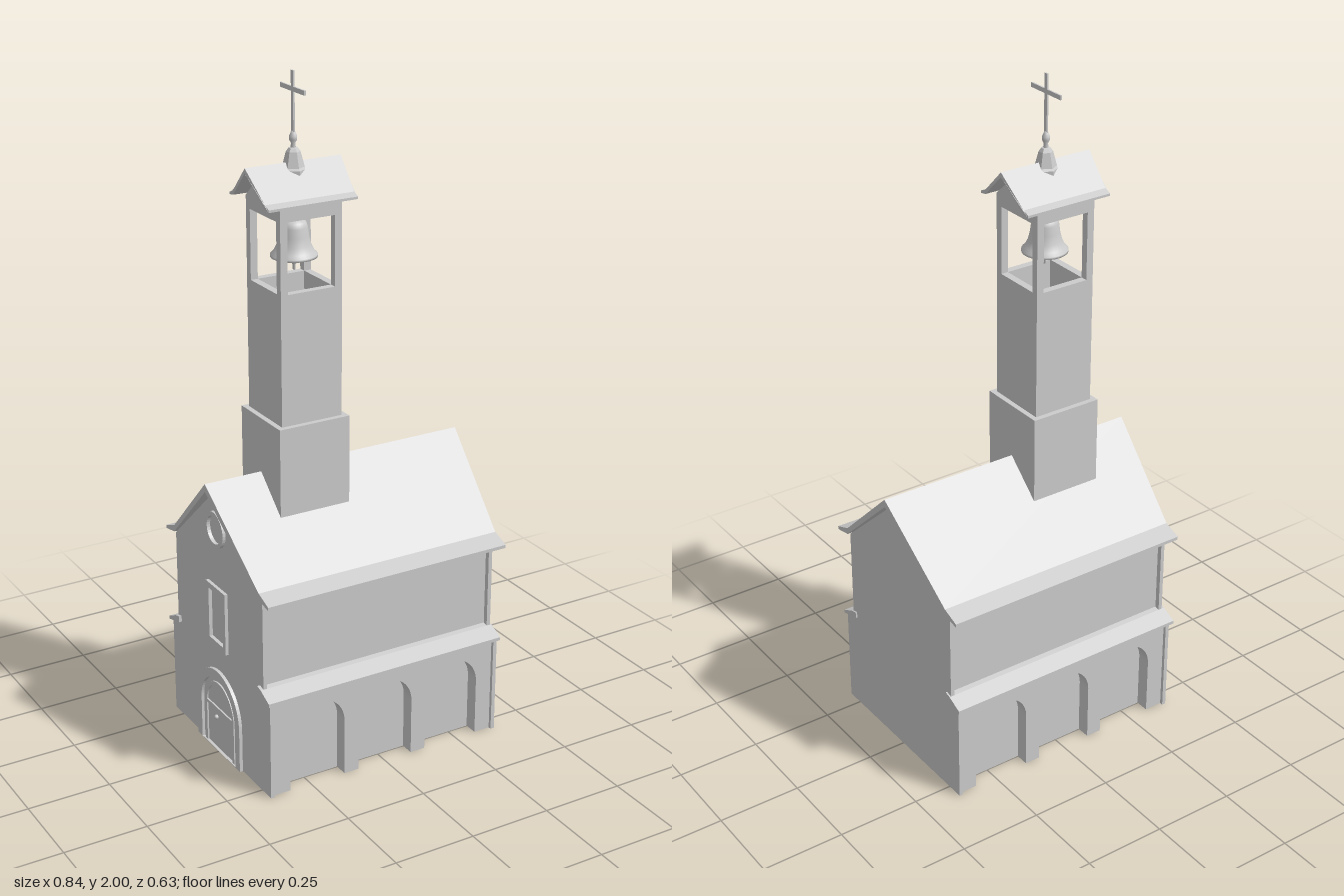
import * as THREE from 'three';

const TX = -0.128; // tower axis

export function createModel() {
  const model = new THREE.Group();
  const mat = new THREE.MeshStandardMaterial({ color: 0xcccccc, side: THREE.DoubleSide });
  const smooth = mat;
  const flat = mat.clone();
  flat.flatShading = true;

  const add = (name, geo, x = 0, y = 0, z = 0, m = flat, parent = model) => {
    const mesh = new THREE.Mesh(geo, m);
    mesh.name = name;
    mesh.position.set(x, y, z);
    parent.add(mesh);
    return mesh;
  };
  const box = (name, w, h, d, x, y, z) => add(name, new THREE.BoxGeometry(w, h, d), x, y, z);
  const poly = pts => new THREE.Shape(pts.map(p => new THREE.Vector2(p[0], p[1])));
  const extrude = (shape, depth) => new THREE.ExtrudeGeometry(shape,
    { depth, bevelEnabled: false, curveSegments: 16 }).translate(0, 0, -depth / 2);
  // a (z, y) outline extruded along x
  const extrudeX = (shape, depth) => extrude(shape, depth).rotateY(-Math.PI / 2);
  const mirrored = pts => [...pts, ...pts.filter(p => p[0] > 0).reverse().map(p => [-p[0], p[1]])];
  const arch = (r, spring, base = 0, Type = THREE.Shape) => {
    const s = new Type();
    s.moveTo(-r, base);
    s.lineTo(r, base);
    s.lineTo(r, spring);
    s.absarc(0, spring, r, 0, Math.PI, false);
    s.lineTo(-r, base);
    return s;
  };
  const rect = (w, y0, y1, Type = THREE.Shape) => {
    const s = new Type();
    s.moveTo(-w, y0);
    s.lineTo(w, y0);
    s.lineTo(w, y1);
    s.lineTo(-w, y1);
    s.closePath();
    return s;
  };
  const circle = (r, y, Type = THREE.Shape) => {
    const s = new Type();
    s.absarc(0, y, r, 0, Math.PI * 2, false);
    return s;
  };

  // Chevron roof with flared eaves whose ridge is longer than its eaves
  const roof = (name, top, under, ridge, eave, x) => {
    const shape = poly([
      ...top, ...[...under].reverse(),
      ...under.slice(1).map(p => [-p[0], p[1]]),
      ...top.slice(1).reverse().map(p => [-p[0], p[1]]),
    ]);
    const geo = extrudeX(shape, 2);
    const pos = geo.attributes.position;
    for (let i = 0; i < pos.count; i++) {
      const t = Math.min(Math.abs(pos.getZ(i)) / top[1][0], 1);
      pos.setX(i, Math.sign(pos.getX(i)) * (ridge + (eave - ridge) * t));
    }
    geo.computeVertexNormals();
    return add(name, geo, x);
  };

  // Gable end walls, the left-hand view of the nave is blank, the other has openings
  const gablePts = mirrored([[0, 0.842], [0.265, 0.606], [0.265, 0.32], [0.302, 0.303], [0.302, 0]]);
  add('blankGable', extrudeX(poly(gablePts), 0.012), 0.376);
  const entrance = poly(gablePts);
  entrance.holes.push(
    arch(0.105, 0.135, 0.001, THREE.Path),
    rect(0.042, 0.365, 0.52, THREE.Path),
    circle(0.042, 0.72, THREE.Path));
  add('entranceGable', extrudeX(entrance, 0.012), -0.38);

  // Side walls, blind arcades and sloping ledges, same front and back
  for (const s of [1, -1]) {
    box('sideWall', 0.75, 0.62, 0.014, 0, 0.31, s * 0.243);
    const arcade = new THREE.Shape();
    arcade.moveTo(-0.375, 0);
    for (const cx of [-0.228, 0, 0.228]) {
      arcade.lineTo(cx - 0.09, 0);
      arcade.lineTo(cx - 0.09, 0.175);
      arcade.absarc(cx, 0.175, 0.09, Math.PI, 0, true);
      arcade.lineTo(cx + 0.09, 0);
    }
    arcade.lineTo(0.375, 0);
    arcade.lineTo(0.375, 0.305);
    arcade.lineTo(-0.375, 0.305);
    add('arcade', extrude(arcade, 0.044), 0, 0, s * 0.27);
    add('ledge', extrudeX(poly([[s * 0.245, 0.338], [s * 0.265, 0.333], [s * 0.312, 0.311],
      [s * 0.312, 0.301], [s * 0.245, 0.318]]), 0.782), -0.004);
  }

  roof('naveRoof', [[0, 0.867], [0.26, 0.632], [0.314, 0.612]],
    [[0, 0.843], [0.26, 0.612], [0.314, 0.602]], 0.42, 0.394, 0);

  // Arched door
  const doorFrame = arch(0.132, 0.135);
  doorFrame.holes.push(arch(0.105, 0.135, 0.001, THREE.Path));
  add('doorFrame', extrudeX(doorFrame, 0.022), -0.385);
  add('doorLeaf', extrudeX(arch(0.105, 0.135), 0.008), -0.383);
  const trim = arch(0.09, 0.135);
  trim.holes.push(arch(0.078, 0.135, 0.001, THREE.Path));
  add('doorTrim', extrudeX(trim, 0.006), -0.389);
  box('doorRail', 0.006, 0.01, 0.156, -0.389, 0.135, 0);
  add('doorKnob', new THREE.SphereGeometry(0.007, 10, 8), -0.391, 0.105, -0.02, smooth);

  // Rectangular window and round gable window
  const windowFrame = rect(0.058, 0.347, 0.54);
  windowFrame.holes.push(rect(0.042, 0.365, 0.522, THREE.Path));
  add('windowFrame', extrudeX(windowFrame, 0.022), -0.385);
  add('windowPane', extrudeX(rect(0.043, 0.364, 0.523), 0.006), -0.382);
  const roundFrame = circle(0.055, 0.72);
  roundFrame.holes.push(circle(0.042, 0.72, THREE.Path));
  add('roundWindowFrame', extrudeX(roundFrame, 0.022), -0.385);
  add('roundWindowPane', extrudeX(circle(0.043, 0.72), 0.006), -0.382);

  // Bell tower: solid base, hollow shaft with four openings
  box('towerBase', 0.224, 0.33, 0.224, TX, 0.865, 0);
  const opening = () => rect(0.074, 1.412, 1.615, THREE.Path);
  for (const s of [1, -1]) {
    const side = rect(0.096, 1.03, 1.65);
    side.holes.push(opening());
    add('towerWall', extrude(side, 0.022), TX, 0, s * 0.085);
    const end = poly(mirrored([[0, 1.735], [0.096, 1.65], [0.096, 1.03]]));
    end.holes.push(opening());
    add('towerGableWall', extrudeX(end, 0.022), TX + s * 0.085);
  }
  roof('towerRoof', [[0, 1.752], [0.09, 1.67], [0.111, 1.661]],
    [[0, 1.738], [0.09, 1.657], [0.111, 1.654]], 0.149, 0.138, TX);

  // Bell with its crown, beam and clapper
  const lathe = (name, pts, seg, m) => add(name, new THREE.LatheGeometry(
    pts.map(p => new THREE.Vector2(p[0], p[1])), seg), TX, 0, 0, m);
  lathe('bell', [[0, 1.592], [0.022, 1.591], [0.034, 1.584], [0.039, 1.57], [0.042, 1.545],
    [0.048, 1.52], [0.057, 1.502], [0.066, 1.493], [0.066, 1.486], [0.06, 1.486],
    [0.044, 1.515], [0.036, 1.55], [0.03, 1.578], [0, 1.584]], 32, smooth);
  add('bellCrown', new THREE.CylinderGeometry(0.024, 0.018, 0.022, 12), TX, 1.603, 0);
  box('bellBeam', 0.16, 0.025, 0.025, TX, 1.628, 0);
  lathe('clapper', [[0, 1.58], [0.004, 1.58], [0.004, 1.487], [0.01, 1.478], [0.01, 1.47],
    [0.004, 1.462], [0.004, 1.448], [0, 1.446]], 12, smooth);

  // Six-sided finial, knob and thin cross facing sideways
  lathe('finialBase', [[0.036, 1.715], [0.036, 1.732], [0.031, 1.738], [0.02, 1.78],
    [0.013, 1.79], [0, 1.793]], 6, flat);
  lathe('finialKnob', [[0.008, 1.785], [0.006, 1.803], [0.011, 1.812], [0.011, 1.822],
    [0.005, 1.836], [0, 1.838]], 12, smooth);
  box('crossUpright', 0.005, 0.18, 0.012, TX, 1.91, 0);
  box('crossArm', 0.005, 0.013, 0.132, TX, 1.95, 0);

  return model;
}
